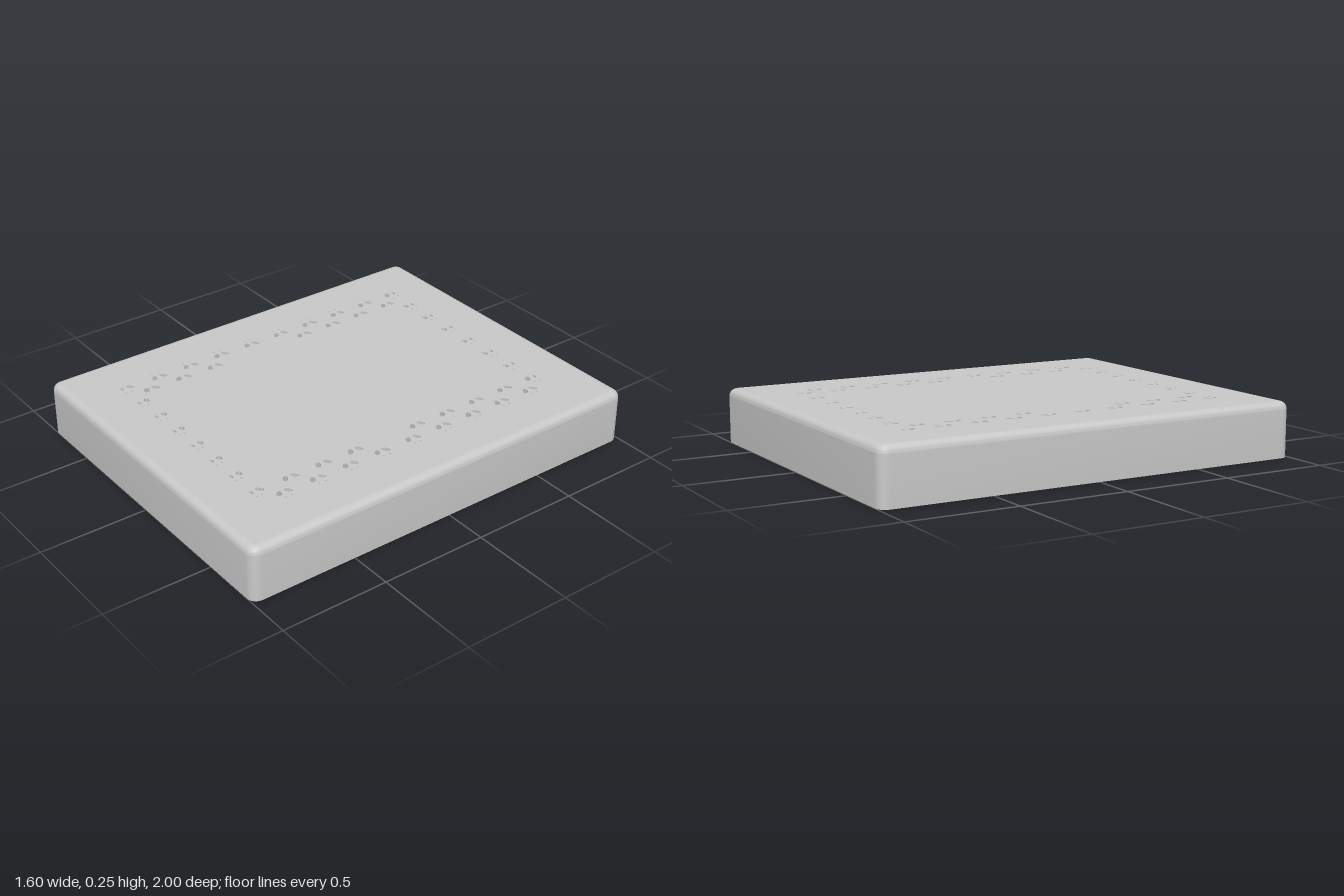
import * as THREE from 'three';
import { toCreasedNormals } from 'three/addons/utils/BufferGeometryUtils.js';

const HX = 0.8, HZ = 1, H = 0.25;      // half width, half length, height
const WALL = 0.04, CEIL = 0.173, ROUND = 0.035, CORNER = 0.045;

// points of a rounded rectangle, inset from the outer outline
function outline(inset) {
  const r = Math.max(CORNER - inset, 0.006), pts = [];
  for (let q = 0; q < 4; q++) {
    const sx = q === 0 || q === 3 ? 1 : -1, sy = q < 2 ? 1 : -1;
    for (let i = 0; i <= 6; i++) {
      const a = (q + i / 6) * Math.PI / 2;
      pts.push(new THREE.Vector2(
        sx * (HX - inset - r) + r * Math.cos(a), sy * (HZ - inset - r) + r * Math.sin(a)));
    }
  }
  return pts;
}

// walls swept around the outline from [inset, y] pairs
function shell(profile) {
  const pos = [], idx = [];
  const n = outline(0).length;
  for (const [inset, y] of profile) for (const p of outline(inset)) pos.push(p.x, y, p.y);
  for (let k = 0; k < profile.length - 1; k++) {
    for (let i = 0; i < n; i++) {
      const a = k * n + i, b = k * n + (i + 1) % n;
      idx.push(a, a + n, b, b, a + n, b + n);
    }
  }
  const g = new THREE.BufferGeometry();
  g.setAttribute('position', new THREE.Float32BufferAttribute(pos, 3));
  g.setIndex(idx);
  return toCreasedNormals(g, 0.6);
}

// closed hole from points around (x, z)
function hole(x, z, pts) {
  return new THREE.Path(pts.map(([u, v]) => new THREE.Vector2(x + u, -(z + v))));
}

// flat panel with holes between two heights
function panel(inset, holes, y0, y1) {
  const shape = new THREE.Shape(outline(inset));
  shape.holes.push(...holes);
  const g = new THREE.ExtrudeGeometry(shape, { depth: y1 - y0, bevelEnabled: false });
  return g.rotateX(-Math.PI / 2).translate(0, y0, 0);
}

// slanted vent: s = 1 leans one way, s = -1 the other
const vent = (x, z, s) => hole(x, z, [
  [-0.017, 0.013 * s], [-0.014, -0.004 * s], [0.004, -0.015 * s],
  [0.016, -0.012 * s], [0.014, 0.005 * s], [-0.004, 0.015 * s]]);
const slot = (x, z, w, d) => hole(x, z, [
  [-w, 0], [-w * 0.6, -d], [w * 0.6, -d], [w, 0], [w * 0.6, d], [-w * 0.6, d]]);

function ventHoles() {
  const holes = [];
  const pair = (x, z) => holes.push(vent(x, z - 0.023, 1), vent(x, z + 0.023, -1));
  const dots = (x, z) => {
    for (const d of [-0.016, 0.016]) holes.push(slot(x, z + d, 0.004, 0.004));
  };
  // two staggered columns on each long side, with pinholes on the outside
  for (let i = 0; i < 8; i++) {
    const z = -0.588 + i * 0.1672;
    pair(-0.545, z);
    dots(-0.581, z);
    if (i !== 4) pair(0.467, z);
  }
  for (let i = 0; i < 9; i++) {
    const z = -0.673 + i * 0.1672;
    pair(0.54, z);
    dots(0.576, z);
    if (i !== 4 && i !== 5) pair(-0.475, z);
  }
  // single rows on the short sides
  for (const s of [-1, 1]) {
    for (let i = 0; i < 8; i++) {
      const x = -0.548 + i * 0.1449;
      holes.push(i === 0 || i === 7 ? vent(x, s * 0.732, s) : slot(x, s * 0.734, 0.016, 0.011));
      holes.push(slot(x, s * 0.772, 0.014, 0.006));
      holes.push(slot(x + 0.036, s * 0.745, 0.004, 0.004), slot(x + 0.036, s * 0.772, 0.004, 0.004));
    }
  }
  return holes;
}

// honeycomb pockets on the underside, every other row shifted half a cell
function pocketHoles() {
  const holes = [], R = 0.06, PITCH = 0.144;
  const hex = [0, 1, 2, 3, 4, 5].map(k => {
    const a = (k + 0.5) * Math.PI / 3;
    return [R * Math.cos(a), R * Math.sin(a)];
  });
  for (let row = 0; row < 11; row++)
    for (let i = 0; i < 6; i++)
      holes.push(hole(-0.4 + (i + (row % 2) / 2) * PITCH, -0.62 + row * 0.126, hex));
  return holes;
}

export function createModel() {
  const group = new THREE.Group();
  const grey = new THREE.MeshStandardMaterial({ color: 0xc8c8c8 });
  grey.name = 'plain grey';
  const add = (name, geometry) => {
    const m = new THREE.Mesh(geometry, grey);
    m.name = name;
    group.add(m);
    return m;
  };

  // side walls with rim and rounded top edge
  const profile = [[WALL, CEIL], [WALL, 0], [0, 0]];
  for (let i = 0; i <= 8; i++) {
    const a = i / 8 * Math.PI / 2;
    profile.push([ROUND * (1 - Math.cos(a)), H - ROUND + ROUND * Math.sin(a)]);
  }
  add('sideWalls', shell(profile));

  // lid: thin pierced skin over a pocketed backing
  add('topSkin', panel(ROUND, ventHoles(), H - 0.015, H));
  add('pocketedBacking', panel(WALL, [...ventHoles(), ...pocketHoles()], CEIL, H - 0.015));

  // small snap bumps inside the long walls
  for (const sx of [-1, 1]) {
    for (const z of [-0.5, 0.5]) {
      const bump = add('snapBump', new THREE.SphereGeometry(0.032, 20, 12));
      bump.scale.x = 0.6;
      bump.position.set(sx * (HX - WALL), 0.08, z);
    }
  }
  return group;
}
